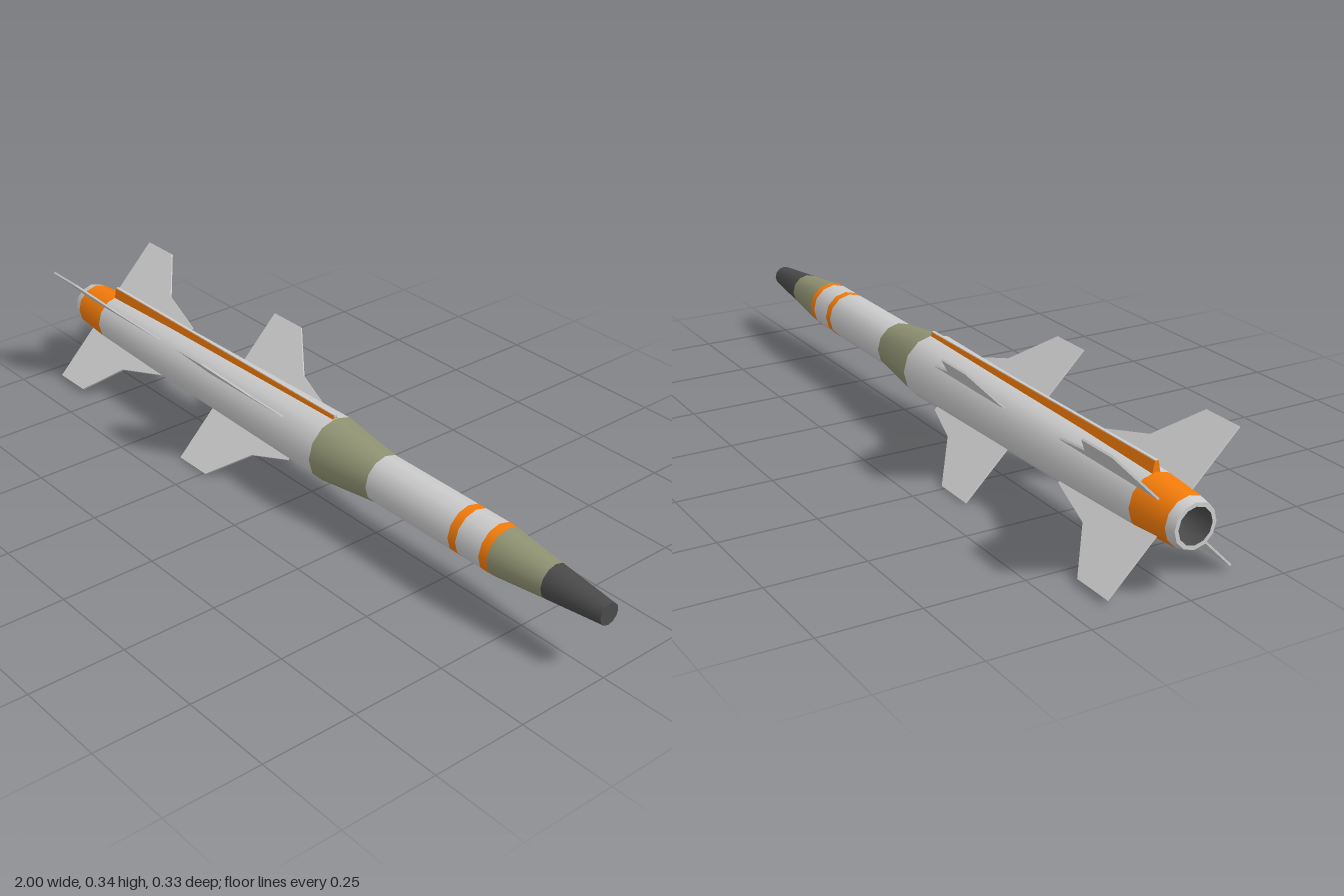
import * as THREE from 'three';

const mat = (color) => new THREE.MeshStandardMaterial({ color });
const grey = mat(0xcccccc), orange = mat(0xf57c0a), olive = mat(0x8f9272), dark = mat(0x4a4a4a);
const AXIS_Y = 0.172, AXIS_Z = 0.002;

// Twelve-sided ring of hull; profile is [x along the body, radius]
function hull(name, profile, material) {
  const points = profile.map(([x, r]) => new THREE.Vector2(r, x));
  const geometry = new THREE.LatheGeometry(points, 12);
  geometry.rotateZ(-Math.PI / 2);
  const mesh = new THREE.Mesh(geometry, material);
  mesh.name = name;
  mesh.position.set(0, AXIS_Y, AXIS_Z);
  return mesh;
}

// Four thin plates in an X; outline is [x, distance from the axis]
function finSet(name, outline, y) {
  const shape = new THREE.Shape(outline.map(([x, r]) => new THREE.Vector2(x, r)));
  const t = 0.005;
  const geometry = new THREE.ExtrudeGeometry(shape, { depth: t, bevelEnabled: false });
  geometry.translate(0, 0, -t / 2);
  const set = new THREE.Group();
  set.name = name;
  set.position.set(0, y, -0.001);
  for (let i = 0; i < 4; i++) {
    const fin = new THREE.Mesh(geometry, grey);
    fin.name = name + 'Blade';
    fin.rotation.x = Math.PI / 4 + i * Math.PI / 2;
    set.add(fin);
  }
  return set;
}

// Prism running along x; section is [z, y]
function prism(name, section, x0, x1, material) {
  const shape = new THREE.Shape(section.map(([z, y]) => new THREE.Vector2(-z, y)));
  const geometry = new THREE.ExtrudeGeometry(shape, { depth: x1 - x0, bevelEnabled: false });
  geometry.rotateY(Math.PI / 2);
  const mesh = new THREE.Mesh(geometry, material);
  mesh.name = name;
  mesh.position.set(x0, 0, AXIS_Z);
  return mesh;
}

export function createModel() {
  const model = new THREE.Group();
  model.name = 'missile';

  // Hull, from tail to nose
  model.add(
    hull('nozzleInside', [[-0.93, 0], [-0.93, 0.036], [-1, 0.044]], dark),
    hull('nozzleRim', [[-1, 0.044], [-1, 0.054]], grey),
    hull('tailRing', [[-1, 0.054], [-0.975, 0.06]], grey),
    hull('tailBand', [[-0.975, 0.06], [-0.86, 0.069]], orange),
    hull('rearBody', [[-0.86, 0.069], [-0.6, 0.076], [-0.3, 0.08], [0.095, 0.086]], grey),
    hull('shoulder', [[0.095, 0.086], [0.28, 0.063]], olive),
    hull('frontBody', [[0.28, 0.063], [0.565, 0.063]], grey),
    hull('rearStripe', [[0.565, 0.063], [0.59, 0.063]], orange),
    hull('stripeGap', [[0.59, 0.063], [0.665, 0.063]], grey),
    hull('frontStripe', [[0.665, 0.063], [0.69, 0.062]], orange),
    hull('noseCone', [[0.69, 0.062], [0.84, 0.045]], olive),
    hull('noseTip', [[0.84, 0.045], [1, 0.028]], dark),
    hull('noseCap', [[1, 0.028], [1, 0]], dark)
  );

  // Cable duct along the back: orange flanks with a grey cover
  model.add(
    prism('duct', [[-0.011, 0.235], [-0.005, 0.266], [0.005, 0.266], [0.011, 0.235]], -0.86, 0.093, orange),
    prism('ductCover', [[-0.004, 0.262], [-0.004, 0.268], [0.004, 0.268], [0.004, 0.262]], -0.86, 0.095, grey)
  );

  // Fins
  model.add(
    finSet('tailFin', [[-0.93, 0.05], [-0.58, 0.06], [-0.58, 0.078], [-0.725, 0.122], [-0.82, 0.229], [-0.93, 0.229]], 0.174),
    finSet('midFin', [[-0.35, 0.06], [-0.025, 0.07], [-0.025, 0.084], [-0.137, 0.122], [-0.24, 0.229], [-0.35, 0.229]], 0.1645)
  );
  return model;
}
